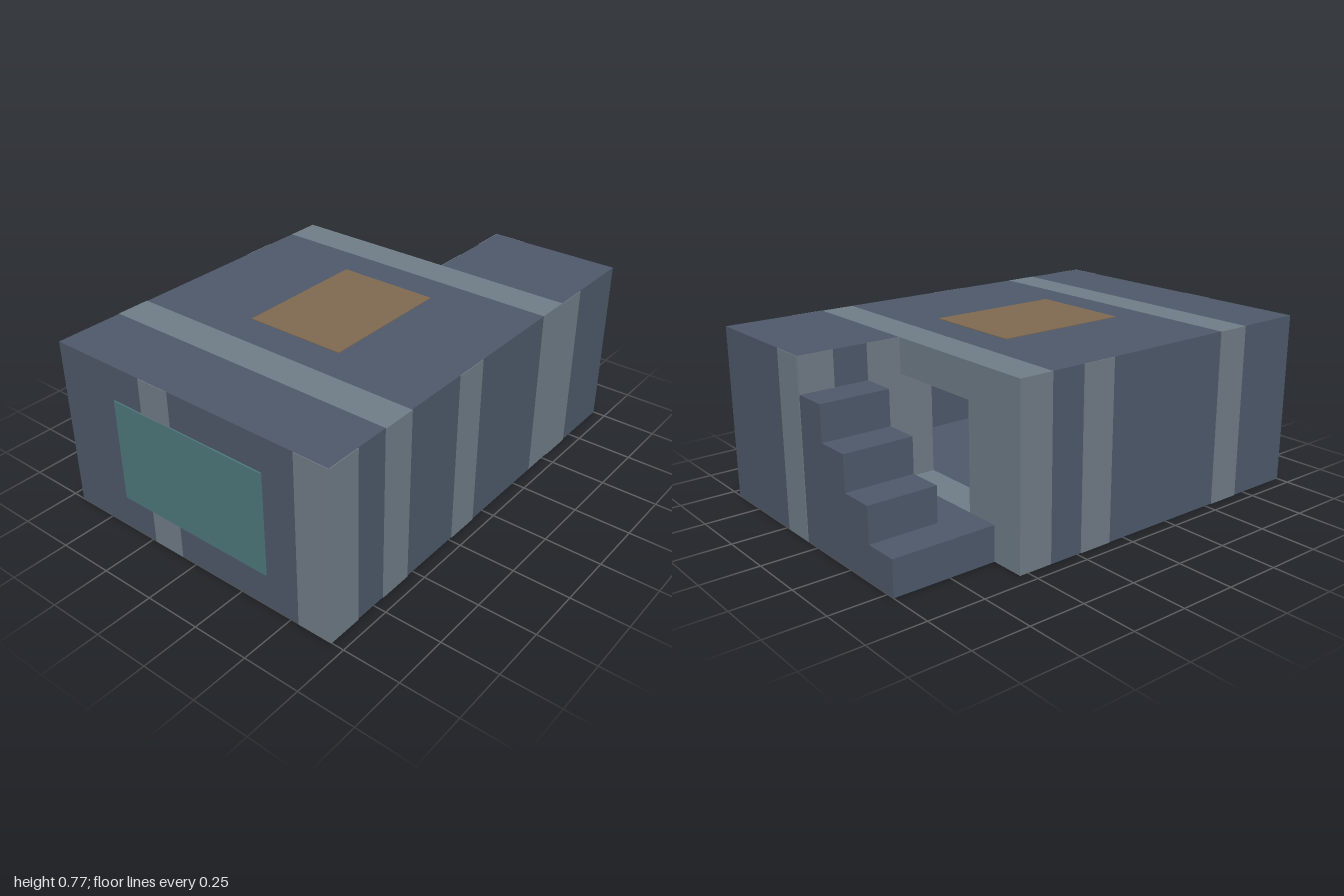
import * as THREE from 'three';

const U = 2 / 13;   // grid cell: 13 wide, 5 high, 9 deep
const T = 0.02;     // thickness of painted plates, in cells

export function createModel() {
  const model = new THREE.Group();
  const mat = (name, color) => {
    const m = new THREE.MeshStandardMaterial({ color });
    m.name = name;
    return m;
  };
  const slate = mat('slate', 0x4d5869);
  const grey = mat('pale grey', 0x6f7b86);
  const brown = mat('brown', 0x7e6950);
  const teal = mat('teal glass', 0x4d777b);

  // Box between two grid corners
  function box(name, material, [x0, y0, z0], [x1, y1, z1]) {
    const mesh = new THREE.Mesh(
      new THREE.BoxGeometry((x1 - x0) * U, (y1 - y0) * U, (z1 - z0) * U), material);
    mesh.position.set(((x0 + x1) / 2 - 6.5) * U, (y0 + y1) / 2 * U, ((z0 + z1) / 2 - 4.5) * U);
    mesh.name = name;
    model.add(mesh);
  }

  // Floor and roof slabs, each with a pale band
  for (const [name, y] of [['floor', 0], ['roof', 4]]) {
    box(name + 'West', slate, [0, y, 0], [2, y + 1, 9]);
    box(name + 'Band', grey, [2, y, 0], [3, y + 1, 9]);
    box(name + 'Main', slate, [3, y, 0], [9, y + 1, 9]);
  }
  box('skylight', brown, [4, 4 - T, 3], [8, 5 + T, 6]);

  // Outer walls around the room
  box('backWall', slate, [0, 1, 0], [9, 4, 1]);
  box('frontWall', slate, [0, 1, 8], [9, 4, 9]);
  box('sideWall', slate, [0, 1, 1], [1, 4, 8]);

  // Pale wall with the doorway
  box('doorWallBack', grey, [9, 0, 0], [10, 5, 2]);
  box('doorWallFront', grey, [9, 0, 5], [10, 5, 9]);
  box('doorLintel', grey, [9, 4, 2], [10, 5, 5]);
  box('doorSill', grey, [9, 0, 2], [10, 1, 5]);

  // Annex, landing and stairs up to its roof
  box('annex', slate, [10, 0, 5], [13, 5, 9]);
  box('landing', slate, [10, 0, 1], [13, 1, 5]);
  for (let i = 1; i <= 3; i++) box('step', slate, [11, 1, i + 1], [13, i + 1, i + 2]);

  // Pale upright stripes painted on the walls
  for (const x of [0, 2, 5, 10]) box('frontStripe', grey, [x, 0, 9], [x + 1, 5, 9 + T]);
  for (const x of [2, 7]) box('backStripe', grey, [x, 0, -T], [x + 1, 5, 0]);
  for (const z of [3, 8]) box('sideStripe', grey, [-T, 0, z], [0, 5, z + 1]);
  box('annexSideStripe', grey, [13, 0, 5], [13 + T, 5, 6]);
  box('annexBackStripe', grey, [10, 1, 5 - T], [11, 5, 5]);
  box('annexBackStripe', grey, [12, 4, 5 - T], [13, 5, 5]);

  // Large side window
  box('window', teal, [-2 * T, 1, 2], [0, 4, 7]);

  return model;
}
